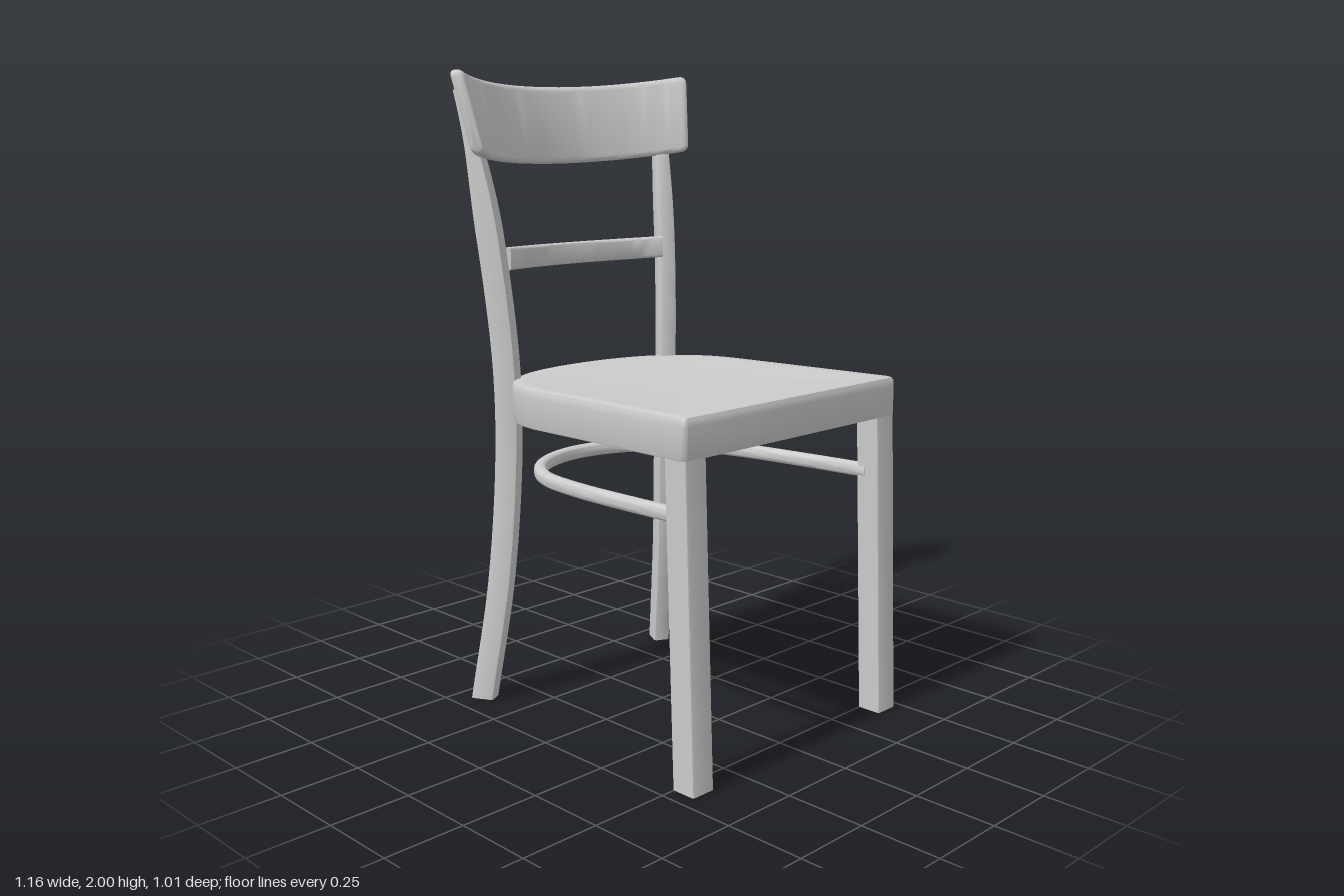
import * as THREE from 'three';
import { toCreasedNormals } from 'three/addons/utils/BufferGeometryUtils.js';

const material = new THREE.MeshStandardMaterial({ color: 0xcccccc });
const V = (x, y, z) => new THREE.Vector3(x, y, z);

// Skins a row of equal-length loops and closes both ends.
function loft(name, loops, crease = 0.6) {
  const n = loops[0].length, m = loops.length;
  const middle = l => l.reduce((s, p) => s.add(p), V(0, 0, 0)).divideScalar(n);
  const tris = [];
  const first = middle(loops[0]), last = middle(loops[m - 1]);
  for (let j = 0; j < n; j++) {
    const k = (j + 1) % n;
    for (let i = 0; i < m - 1; i++) {
      const a = loops[i][j], b = loops[i][k], c = loops[i + 1][k], d = loops[i + 1][j];
      tris.push([a, b, c], [a, c, d]);
    }
    tris.push([first, loops[0][k], loops[0][j]], [last, loops[m - 1][j], loops[m - 1][k]]);
  }
  // The signed volume tells whether the skin is inside out.
  const volume = tris.reduce((s, [a, b, c]) => s + a.dot(b.clone().cross(c)), 0);
  const pos = [];
  for (const [a, b, c] of tris) {
    for (const p of volume > 0 ? [a, b, c] : [a, c, b]) pos.push(p.x, p.y, p.z);
  }
  const geometry = new THREE.BufferGeometry();
  geometry.setAttribute('position', new THREE.Float32BufferAttribute(pos, 3));
  const mesh = new THREE.Mesh(toCreasedNormals(geometry, crease), material);
  mesh.name = name;
  return mesh;
}

// Rounded rectangle as a loop of [u, v] points.
function roundedRect(w, h, r, steps = 4) {
  const pts = [];
  [[1, 1], [-1, 1], [-1, -1], [1, -1]].forEach(([sx, sy], q) => {
    for (let i = 0; i <= steps; i++) {
      const a = (q + i / steps) * Math.PI / 2;
      pts.push([sx * (w / 2 - r) + r * Math.cos(a), sy * (h / 2 - r) + r * Math.sin(a)]);
    }
  });
  return pts;
}

// Seat: one outline scaled through a profile of [scale, height], hollow below.
function makeSeat() {
  const shape = new THREE.Shape();
  shape.moveTo(0.546, 0);
  shape.lineTo(0.546, 0.449);
  shape.quadraticCurveTo(0.547, 0.467, 0.528, 0.467);
  shape.lineTo(-0.1, 0.443);
  shape.bezierCurveTo(-0.3, 0.43, -0.42, 0.29, -0.42, 0);
  const half = shape.getPoints(20);
  const outline = [...half, ...half.slice(1, -1).reverse().map(p => new THREE.Vector2(p.x, -p.y))];
  const profile = [
    [0.01, 1.025], [0.89, 1.025], [0.89, 0.942], [0.995, 0.942], [1, 0.947], [1, 1.035],
    [0.998, 1.052], [0.99, 1.06], [0.975, 1.063], [0.9, 1.061], [0.7, 1.055], [0.4, 1.05], [0.01, 1.048],
  ];
  const cx = 0.06;
  return loft('seat', profile.map(([s, y]) => outline.map(p => {
    const x = cx + (p.x - cx) * s;
    return V(x, y + 0.016 * x, p.y * s - 0.006);
  })));
}

// Front leg: straight, square, leaning slightly forward.
function makeFrontLeg(side) {
  const zFoot = side > 0 ? 0.412 : -0.435, zTop = side > 0 ? 0.416 : -0.428;
  const rect = roundedRect(0.082, 0.084, 0.008, 2);
  return loft('frontLeg', [[0.535, 0, zFoot], [0.5, 1.045, zTop]].map(([x, y, z]) =>
    rect.map(([u, v]) => V(x + u, y, z + v))));
}

// Back leg: bent upright, turned towards the seat, thinning at the top.
function makeBackLeg(side) {
  const path = new THREE.CatmullRomCurve3([
    V(-0.42, 0, 0.4), V(-0.365, 0.4, 0.365), V(-0.34, 0.8, 0.346), V(-0.337, 1.08, 0.35),
    V(-0.36, 1.4, 0.37), V(-0.408, 1.74, 0.396), V(-0.45, 1.94, 0.418),
  ]);
  const c = Math.cos(0.49), s = Math.sin(0.49);
  const loops = path.getPoints(36).map(p => {
    const thin = THREE.MathUtils.smoothstep(p.y, 1.5, 1.94);
    return roundedRect(0.076 - 0.04 * thin, 0.055 - 0.01 * thin, 0.008, 2).map(([u, v]) =>
      V(p.x - u * c + v * s, p.y, side * (p.z + u * s + v * c)));
  });
  return loft('backLeg', loops);
}

// Crest rail: bowed, leaning back, rising to its rounded ends.
function makeCrestRail() {
  const loops = [], span = 0.69, thick = 0.045, steps = 48, pivot = -0.55;
  for (let i = 0; i <= steps; i++) {
    const t = Math.sin((i / steps - 0.5) * Math.PI);
    const a = t * span, lift = t * t;
    const d = Math.min(1, (1 - Math.abs(t)) * span * 0.78 / 0.025);
    const round = 1 - Math.sqrt(1 - (1 - d) * (1 - d));
    const bottom = 1.71 + 0.037 * lift, top = 1.957 + 0.043 * lift;
    const h = top - bottom - 0.04 * round, w = thick - 0.018 * round;
    loops.push(roundedRect(w, h, w * 0.4).map(([u, v]) => {
      const r = 0.7545 + 0.065 * v / 0.25 + u;
      return V(0.225 - pivot - r * Math.cos(a), (top + bottom) / 2 + v, r * Math.sin(a));
    }));
  }
  const rail = loft('crestRail', loops);
  rail.position.x = pivot;
  rail.rotation.y = 0.025;
  return rail;
}

// Back slat: narrow bowed bar between the uprights.
function makeBackSlat() {
  const loops = [], rect = roundedRect(0.034, 0.07, 0.009);
  for (let i = 0; i <= 24; i++) {
    const t = i / 12 - 1, a = t * 0.575;
    loops.push(rect.map(([u, v]) => {
      const r = 0.625 + u;
      return V(0.18 - r * Math.cos(a), 1.42 + 0.008 * t * t + v, r * Math.sin(a));
    }));
  }
  return loft('backSlat', loops);
}

// Stretcher: bent rod running from one front leg round the back to the other.
function makeStretcher() {
  const half = [[0.5, 0.4], [0.25, 0.393], [0, 0.375], [-0.18, 0.335], [-0.31, 0.245], [-0.385, 0.12]];
  const all = [...half, [-0.408, 0], ...half.map(([x, z]) => [x, -z]).reverse()];
  const path = new THREE.CatmullRomCurve3(all.map(([x, z]) => V(x, 0.765 + 0.024 * x, z - 0.005)));
  const rect = roundedRect(0.04, 0.044, 0.016);
  const loops = [];
  for (let i = 0; i <= 72; i++) {
    const p = path.getPointAt(i / 72), t = path.getTangentAt(i / 72);
    const out = V(t.z, 0, -t.x).normalize();
    loops.push(rect.map(([u, v]) => V(p.x + out.x * u, p.y + v, p.z + out.z * u)));
  }
  return loft('stretcher', loops);
}

export function createModel() {
  const chair = new THREE.Group();
  chair.name = 'chair';
  chair.add(makeSeat(), makeCrestRail(), makeBackSlat(), makeStretcher());
  for (const side of [1, -1]) chair.add(makeFrontLeg(side), makeBackLeg(side));
  return chair;
}
